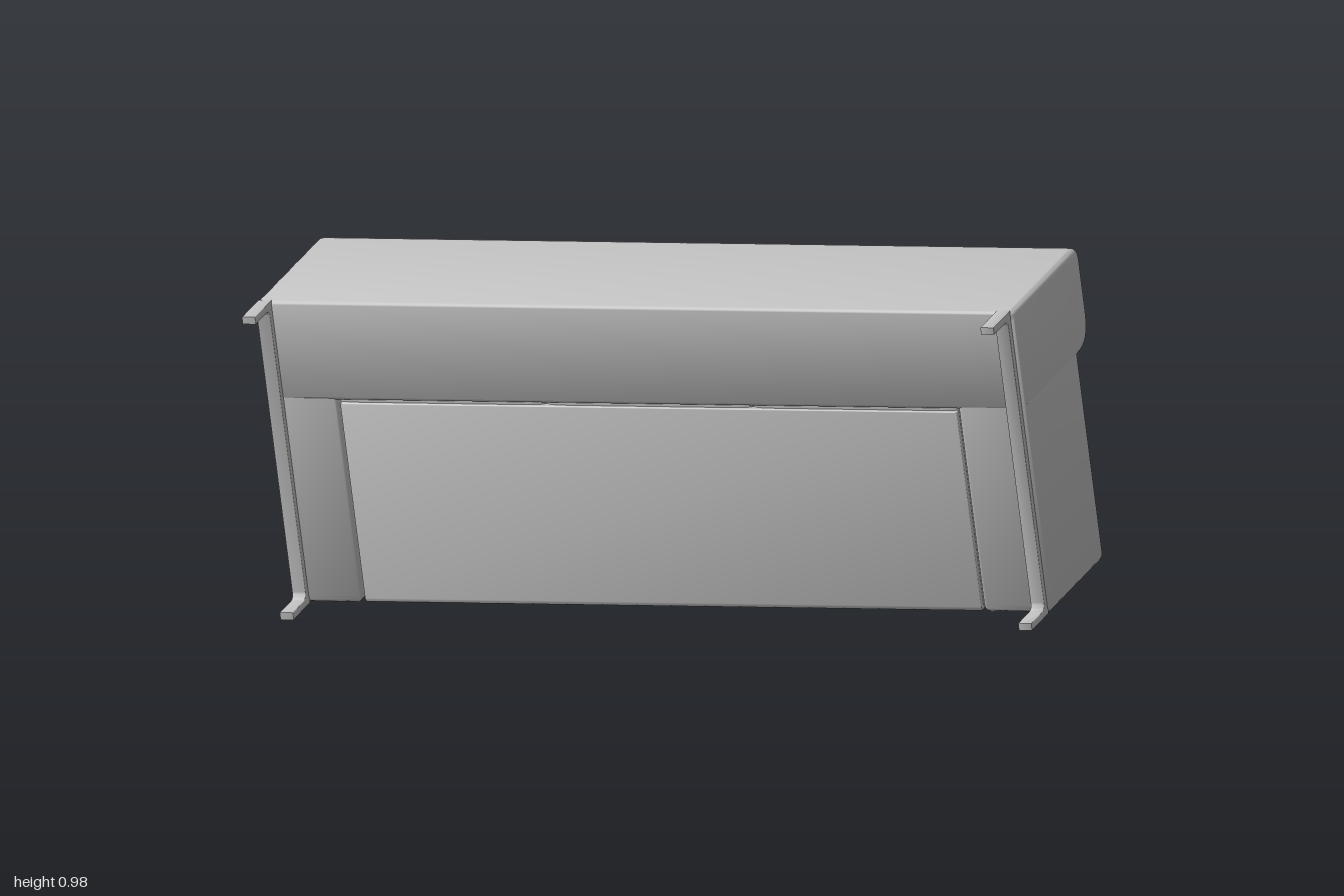
import * as THREE from 'three';
import { toCreasedNormals } from 'three/addons/utils/BufferGeometryUtils.js';

const fabric = new THREE.MeshStandardMaterial({ color: 0xc0c0c0 });
fabric.name = 'grey';

// Closed polygon with rounded corners; each point is [x, y, radius]
function roundedShape(points) {
  const shape = new THREE.Shape();
  const n = points.length;
  points.forEach(([x, y, r], i) => {
    const c = new THREE.Vector2(x, y);
    const toward = (q) => {
      const d = new THREE.Vector2(q[0], q[1]).sub(c).normalize();
      return c.clone().addScaledVector(d, r);
    };
    const a = toward(points[(i + n - 1) % n]);
    const b = toward(points[(i + 1) % n]);
    if (i === 0) shape.moveTo(a.x, a.y);
    else shape.lineTo(a.x, a.y);
    if (r > 0) shape.quadraticCurveTo(x, y, b.x, b.y);
  });
  shape.closePath();
  return shape;
}

// Extrusion from start to end whose ends are softened inside the profile
function softExtrude(points, start, end, bevelSize, bevelDepth = bevelSize) {
  const geo = new THREE.ExtrudeGeometry(roundedShape(points), {
    depth: end - start - 2 * bevelDepth,
    curveSegments: 6,
    bevelEnabled: true,
    bevelSize,
    bevelOffset: -bevelSize,
    bevelThickness: bevelDepth,
    bevelSegments: 4,
  });
  geo.translate(0, 0, start + bevelDepth);
  return geo;
}

function addMesh(parent, name, geo) {
  const mesh = new THREE.Mesh(toCreasedNormals(geo, 0.7), fabric);
  mesh.name = name;
  parent.add(mesh);
}

export function createModel() {
  const model = new THREE.Group();
  model.name = 'tippedSofa';

  // Sofa frame: x along its length, y toward its back, z toward its feet
  const sofa = new THREE.Group();
  sofa.name = 'sofa';
  const along = new THREE.Vector3(1, 0.1, 0.037).normalize();
  const feet = along.clone().cross(new THREE.Vector3(-0.103, 1, 0.072)).normalize();
  const back = feet.clone().cross(along);
  sofa.applyMatrix4(new THREE.Matrix4().makeBasis(along, back, feet));
  model.add(sofa);

  const left = 1.003, right = -0.907;
  const middle = (left + right) / 2;

  // Backrest: [height, depth] profile swept along the whole length
  const backProfile = [
    [-0.106, 0.62, 0.01], [0.335, 0.62, 0.08], [0.335, 0.868, 0.035], [-0.106, 0.868, 0.015],
  ];
  addMesh(sofa, 'backrest', softExtrude(backProfile, right, left, 0.016).rotateY(Math.PI / 2));

  // Arms: wider at the top, flush with the ends of the backrest
  const half = (left - right) / 2 - 0.001;
  for (const side of [1, -1]) {
    const arm = [
      [half, -0.105, 0.012], [half, 0.26, 0.025], [half - 0.2, 0.26, 0.05],
      [half - 0.2, 0.1, 0.03], [half - 0.17, 0.04, 0.03], [half - 0.17, -0.105, 0.01],
    ].map(([x, y, r]) => [middle + side * x, y, r]);
    const name = side > 0 ? 'leftArm' : 'rightArm';
    addMesh(sofa, name, softExtrude(arm, 0.108, 0.862, 0.02).rotateX(-Math.PI / 2));
  }

  // Seat: three soft cushions that wrap over the front
  const seatStart = middle - half + 0.172;
  const cushionWidth = (2 * half - 0.344) / 3;
  const cushion = [
    [-0.095, 0.112, 0.015], [0.0, 0.1, 0.04], [0.095, 0.108, 0.05], [0.08, 0.64, 0.02], [-0.095, 0.64, 0.01],
  ];
  for (let i = 0; i < 3; i++) {
    const start = seatStart + i * cushionWidth;
    const geo = softExtrude(cushion, start, start + cushionWidth, 0.011, 0.045);
    addMesh(sofa, 'seatCushion', geo.rotateY(Math.PI / 2));
  }

  // Base panel underneath, with a narrow gap around it
  const panel = [[-0.102, 0.11, 0.012], [-0.02, 0.112, 0.01], [-0.02, 0.612, 0.01], [-0.102, 0.612, 0.008]];
  addMesh(sofa, 'basePanel',
    softExtrude(panel, seatStart + 0.004, seatStart + 3 * cushionWidth - 0.004, 0.006).rotateY(Math.PI / 2));

  // Bent flat-bar runners: a rail under each arm with a foot at each end
  const runner = [
    [-0.1, 0.108, 0], [-0.213, 0.108, 0], [-0.213, 0.126, 0], [-0.122, 0.126, 0.018],
    [-0.122, 0.85, 0.018], [-0.213, 0.85, 0], [-0.213, 0.868, 0], [-0.1, 0.868, 0],
  ].reverse();
  for (const [name, x] of [['leftRunner', 0.976], ['rightRunner', -0.885]]) {
    addMesh(sofa, name, softExtrude(runner, x - 0.017, x + 0.017, 0.002).rotateY(Math.PI / 2));
  }

  return model;
}
